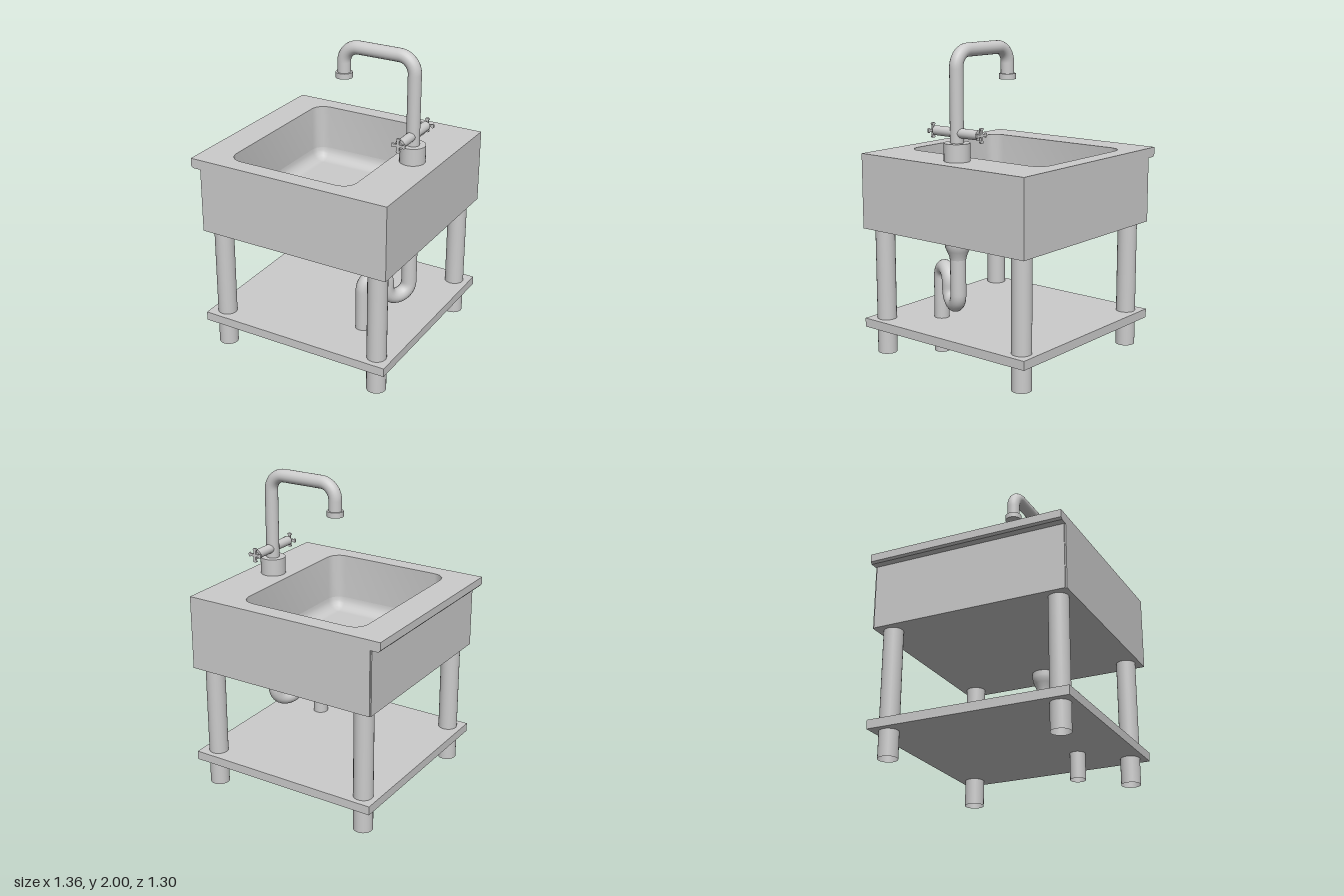
import * as THREE from 'three';
import { toCreasedNormals } from 'three/addons/utils/BufferGeometryUtils.js';

const V = (x, y, z) => new THREE.Vector3(x, y, z);
const mat = new THREE.MeshStandardMaterial({ color: 0xcccccc });
const openMat = new THREE.MeshStandardMaterial({ color: 0xcccccc, side: THREE.DoubleSide });

function add(parent, name, geo, x = 0, y = 0, z = 0, material = mat) {
  const m = new THREE.Mesh(geo, material);
  m.name = name;
  m.position.set(x, y, z);
  parent.add(m);
  return m;
}

// Box given by its extents
function slab(parent, name, x0, x1, y0, y1, hz) {
  return add(parent, name, new THREE.BoxGeometry(x1 - x0, y1 - y0, hz * 2), (x0 + x1) / 2, (y0 + y1) / 2, 0);
}

// Upright cylinder given by its bottom and top
function post(parent, name, r, y0, y1, x, z, open = false) {
  const geo = new THREE.CylinderGeometry(r, r, y1 - y0, 24, 1, open);
  return add(parent, name, geo, x, (y0 + y1) / 2, z, open ? openMat : mat);
}

// Basin outline: rounded rectangle, counter-clockwise from above, shrunk by inset
function basinOutline(inset) {
  const x0 = -0.48, x1 = 0.375, hz = 0.535, r = 0.085, steps = 3;
  const corners = [[x1 - r, hz - r], [x0 + r, hz - r], [x0 + r, r - hz], [x1 - r, r - hz]];
  const pts = [];
  corners.forEach(([cx, cy], q) => {
    for (let i = 0; i <= steps; i++) {
      const a = (q + i / steps) * Math.PI / 2;
      pts.push(new THREE.Vector2(cx + (r - inset) * Math.cos(a), cy + (r - inset) * Math.sin(a)));
    }
  });
  return pts;
}

// Rounded bottom of the basin: fillet rings closed by a flat floor
function basinBottom(yTop, fillet) {
  const pos = [], index = [], rings = 6;
  let n = 0;
  for (let i = 0; i <= rings; i++) {
    const a = i / rings * Math.PI / 2;
    const pts = basinOutline(fillet * (1 - Math.cos(a)));
    n = pts.length;
    pts.forEach(p => pos.push(p.x, yTop - fillet * Math.sin(a), -p.y));
  }
  const centre = pos.length / 3;
  pos.push(-0.05, yTop - fillet, 0);
  for (let i = 0; i <= rings; i++) {
    for (let j = 0; j < n; j++) {
      const k = (j + 1) % n, a = i * n + j, b = i * n + k;
      if (i === rings) index.push(a, b, centre);
      else index.push(a, b, a + n, b, b + n, a + n);
    }
  }
  const geo = new THREE.BufferGeometry();
  geo.setAttribute('position', new THREE.Float32BufferAttribute(pos, 3));
  geo.setIndex(index);
  geo.computeVertexNormals();
  return geo;
}

// Four-armed tap handle with flared arms
function crossGeometry() {
  const pts = [];
  for (let q = 0; q < 4; q++) {
    const a = q * Math.PI / 2;
    for (const [u, v] of [[0.008, -0.008], [0.03, -0.008], [0.039, -0.015], [0.046, -0.009],
      [0.046, 0.009], [0.039, 0.015], [0.03, 0.008]]) {
      pts.push(new THREE.Vector2(u * Math.cos(a) - v * Math.sin(a), u * Math.sin(a) + v * Math.cos(a)));
    }
  }
  const geo = new THREE.ExtrudeGeometry(new THREE.Shape(pts), { depth: 0.012, bevelEnabled: false });
  return geo.translate(0, 0, -0.006);
}

function buildSink(root) {
  const sink = new THREE.Group();
  sink.name = 'sink';
  root.add(sink);
  const hz = 0.645;

  // Block with the basin opening cut through, closed by a base plate
  const block = new THREE.Shape([[-0.613, -hz], [0.68, -hz], [0.68, hz], [-0.613, hz]].map(p => new THREE.Vector2(...p)));
  block.holes.push(new THREE.Path(basinOutline(0).reverse()));
  const geo = new THREE.ExtrudeGeometry(block, { depth: 0.42, bevelEnabled: false }).rotateX(-Math.PI / 2);
  add(sink, 'sinkBody', toCreasedNormals(geo, 0.7), 0, 0.88, 0);
  slab(sink, 'sinkUnderside', -0.613, 0.68, 0.82, 0.88, hz);
  add(sink, 'basin', basinBottom(1.0, 0.08));

  // Thin apron panel and overhanging lip along one side
  slab(sink, 'apronPanel', -0.62, -0.613, 0.82, 1.24, 0.636);
  const lip = new THREE.Shape([[-0.613, 1.3], [-0.68, 1.3], [-0.68, 1.25], [-0.668, 1.237], [-0.613, 1.237]]
    .map(p => new THREE.Vector2(...p)));
  add(sink, 'counterLip', new THREE.ExtrudeGeometry(lip, { depth: hz * 2, bevelEnabled: false }), 0, 0, -hz);
}

function buildStand(root) {
  const stand = new THREE.Group();
  stand.name = 'stand';
  root.add(stand);
  for (const x of [-0.522, 0.58])
    for (const z of [-0.552, 0.552]) post(stand, 'leg', 0.062, 0, 0.82, x, z, true);
  slab(stand, 'shelf', -0.62, 0.68, 0.17, 0.227, 0.648);
}

function buildFaucet(root) {
  const faucet = new THREE.Group();
  faucet.name = 'faucet';
  root.add(faucet);
  const x = 0.51, tip = 0.03, top = 1.958, r = 0.1;
  post(faucet, 'faucetBase', 0.081, 1.3, 1.41, x, 0);
  post(faucet, 'nozzle', 0.053, 1.755, 1.79, tip, 0);

  // Spout with two rounded bends
  const path = new THREE.CurvePath();
  path.add(new THREE.LineCurve3(V(x, 1.4, 0), V(x, top - r, 0)));
  path.add(new THREE.CubicBezierCurve3(V(x, top - r, 0), V(x, top - r * 0.45, 0), V(x - r * 0.45, top, 0), V(x - r, top, 0)));
  path.add(new THREE.LineCurve3(V(x - r, top, 0), V(tip + r, top, 0)));
  path.add(new THREE.CubicBezierCurve3(V(tip + r, top, 0), V(tip + r * 0.45, top, 0), V(tip, top - r * 0.45, 0), V(tip, top - r, 0)));
  path.add(new THREE.LineCurve3(V(tip, top - r, 0), V(tip, 1.78, 0)));
  add(faucet, 'spout', new THREE.TubeGeometry(path, 60, 0.042, 20));

  // Valve arms with cross handles, front and back
  for (const s of [-1, 1]) {
    const arm = new THREE.CylinderGeometry(0.03, 0.03, 0.172, 20).rotateX(Math.PI / 2);
    add(faucet, 'valveArm', arm, x, 1.47, s * 0.086);
    const spindle = new THREE.CylinderGeometry(0.014, 0.014, 0.03, 14).rotateX(Math.PI / 2);
    add(faucet, 'spindle', spindle, x, 1.47, s * 0.18);
    add(faucet, 'crossHandle', crossGeometry(), x, 1.47, s * 0.192);
  }
}

function buildDrain(root) {
  const drain = new THREE.Group();
  drain.name = 'drain';
  root.add(drain);

  // Bell-shaped collar under the sink
  const bell = [[0.05, 0.69], [0.055, 0.715], [0.069, 0.745], [0.078, 0.768], [0.081, 0.79], [0.081, 0.82]];
  add(drain, 'drainCollar', new THREE.LatheGeometry(bell.map(p => new THREE.Vector2(...p)), 24), 0.51, 0, 0, openMat);

  // Trap: down, U-bend, inverted U-bend, down to the floor, running diagonally
  const at = (t, y) => V(0.51 - 0.17 * t, y, 0.293 * t);
  const low = 0.47, high = 0.49, k = 0.113;
  const path = new THREE.CurvePath();
  path.add(new THREE.LineCurve3(at(0, 0.75), at(0, low)));
  path.add(new THREE.CubicBezierCurve3(at(0, low), at(0, low - k), at(0.5, low - k), at(0.5, low)));
  path.add(new THREE.LineCurve3(at(0.5, low), at(0.5, high)));
  path.add(new THREE.CubicBezierCurve3(at(0.5, high), at(0.5, high + k), at(1, high + k), at(1, high)));
  path.add(new THREE.LineCurve3(at(1, high), at(1, 0)));
  add(drain, 'trapPipe', new THREE.TubeGeometry(path, 70, 0.049, 20), 0, 0, 0, openMat);
}

export function createModel() {
  const root = new THREE.Group();
  root.name = 'utilitySink';
  buildSink(root);
  buildStand(root);
  buildFaucet(root);
  buildDrain(root);
  return root;
}
